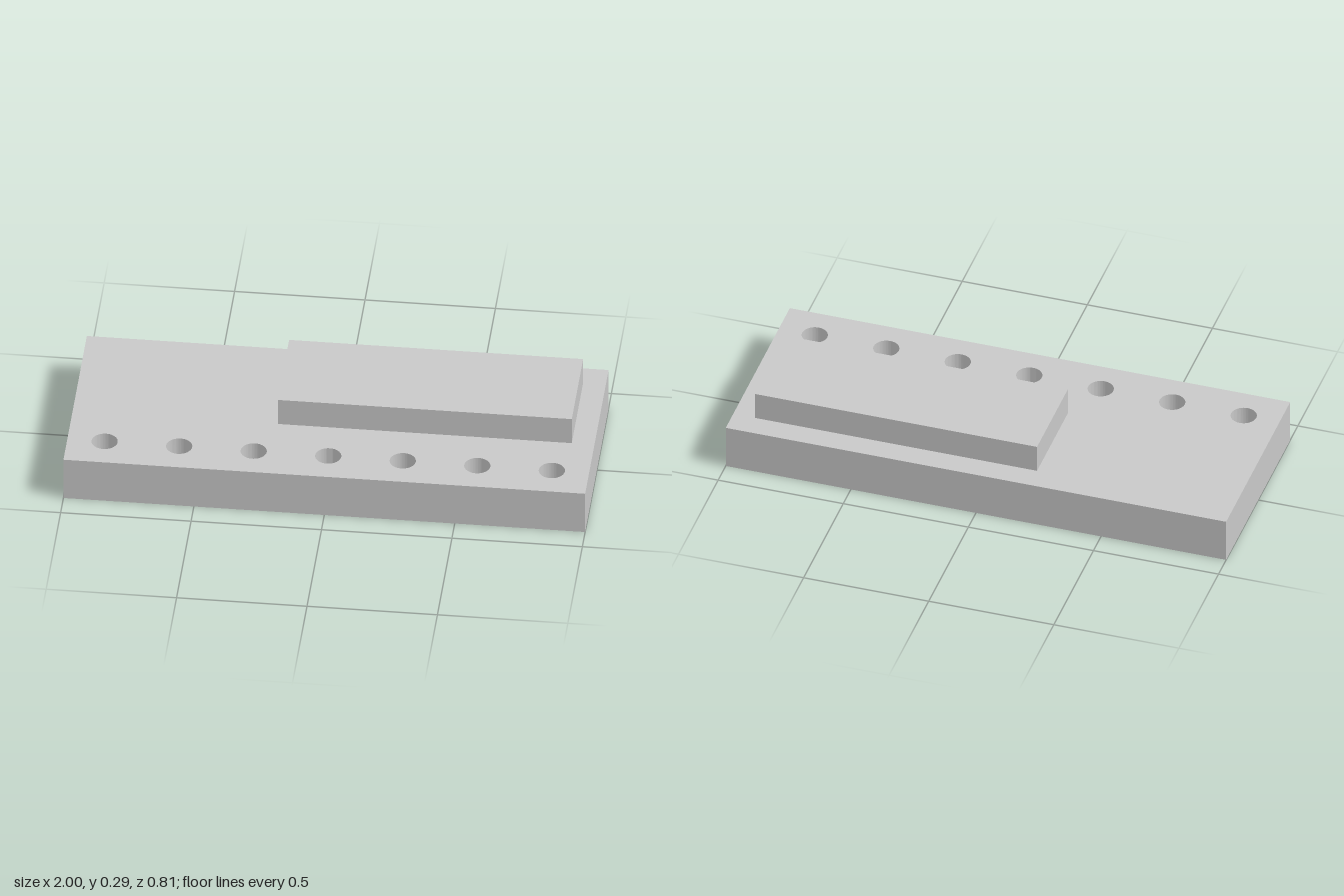
import * as THREE from 'three';
import { toCreasedNormals } from 'three/addons/utils/BufferGeometryUtils.js';

export function createModel() {
  const model = new THREE.Group();
  const grey = new THREE.MeshStandardMaterial({ color: 0xc8c8c8 });
  grey.name = 'lightGrey';

  // Base plate with a row of seven through holes near the front edge
  const halfW = 1, halfD = 0.404, baseH = 0.18;
  const outline = new THREE.Shape();
  outline.moveTo(-halfW, -halfD);
  outline.lineTo(halfW, -halfD);
  outline.lineTo(halfW, halfD);
  outline.lineTo(-halfW, halfD);
  outline.closePath();
  for (let i = -3; i <= 3; i++) {
    const hole = new THREE.Path();
    hole.absarc(i * 2 / 7, -0.268, 0.05, 0, Math.PI * 2, true);
    outline.holes.push(hole);
  }
  const plate = new THREE.ExtrudeGeometry(outline, {
    depth: baseH, bevelEnabled: false, curveSegments: 32,
  });
  plate.rotateX(-Math.PI / 2);
  const basePlate = new THREE.Mesh(toCreasedNormals(plate, Math.PI / 6), grey);
  basePlate.name = 'basePlate';
  model.add(basePlate);

  // Raised block, offset to the left and back
  const x0 = -0.214, x1 = 0.913, z0 = -0.309, z1 = 0.083, top = 0.293;
  const raisedBlock = new THREE.Mesh(new THREE.BoxGeometry(x1 - x0, top - baseH, z1 - z0), grey);
  raisedBlock.position.set((x0 + x1) / 2, (baseH + top) / 2, (z0 + z1) / 2);
  raisedBlock.name = 'raisedBlock';
  model.add(raisedBlock);

  return model;
}
